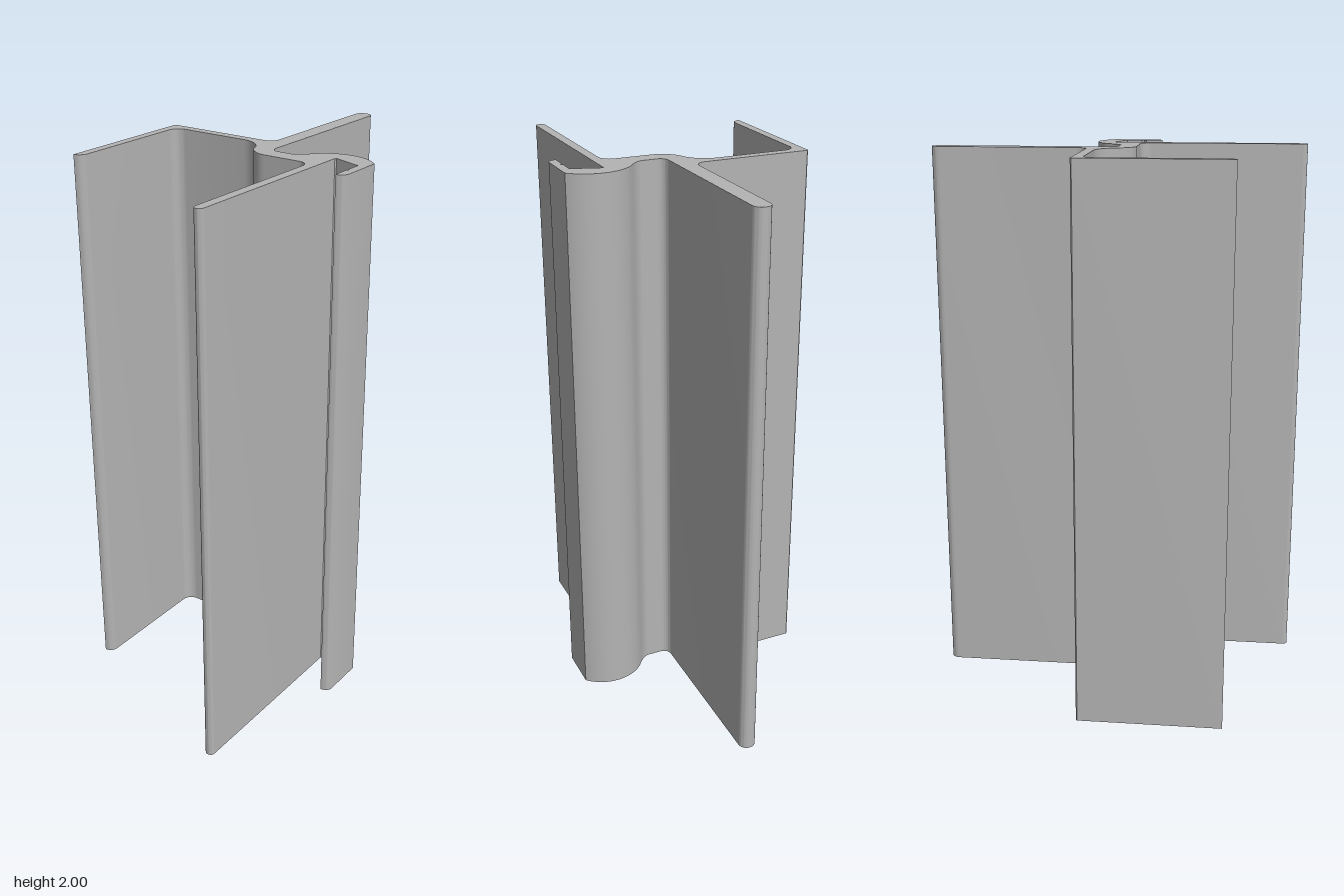
import * as THREE from 'three';
import { toCreasedNormals } from 'three/addons/utils/BufferGeometryUtils.js';

// Cross-section drawn in (x, z); shape y is -z so it stands up when rotated.
function profileShape() {
  const shape = new THREE.Shape();
  const line = (x, z) => shape.lineTo(x, -z);
  // Straight run to (ax, az), then a rounded corner about (cx, cz) ending at (bx, bz)
  const round = (ax, az, cx, cz, bx, bz, k = 0.552) => {
    line(ax, az);
    const mix = (p, c) => p + (c - p) * k;
    shape.bezierCurveTo(mix(ax, cx), -mix(az, cz), mix(bx, cx), -mix(bz, cz), bx, -bz);
  };

  // back of the web and left flange corner
  shape.moveTo(-0.433, 0.1);
  line(-0.428, -0.105);
  round(-0.04, -0.105, -0.002, -0.105, -0.002, -0.143);
  // back fin with rounded tip
  round(-0.002, -0.637, -0.002, -0.667, 0.028, -0.667);
  round(0.03, -0.667, 0.06, -0.667, 0.06, -0.637);
  round(0.06, -0.034, 0.06, -0.004, 0.09, -0.004);
  // hook: sweeping fillet, arched back, lip with a small notch
  round(0.145, -0.004, 0.168, -0.006, 0.2, -0.05, 0.65);
  shape.absarc(0.318, -0.05, 0.155, Math.atan2(0.1, -0.118), Math.atan2(0.105, 0.114), true);
  round(0.432, -0.045, 0.432, -0.043, 0.432, -0.04);
  round(0.432, 0.1, 0.432, 0.127, 0.4, 0.127);
  line(0.4, 0.066);
  line(0.407, 0.058);
  line(0.4, 0.05);
  line(0.4, -0.006);
  line(0.297, -0.04);
  line(0.293, -0.036);
  // front fin with rounded tip
  round(0.293, 0.65, 0.293, 0.667, 0.278, 0.667);
  round(0.273, 0.667, 0.258, 0.667, 0.258, 0.65);
  // front of the web with the S-shaped step
  round(0.258, 0.1, 0.258, 0.06, 0.218, 0.06);
  round(0.08, 0.06, 0.014, 0.06, -0.005, -0.003);
  round(-0.005, -0.003, -0.025, -0.07, -0.1, -0.07);
  // left flange
  round(-0.36, -0.07, -0.4, -0.07, -0.4, -0.03);
  round(-0.4, 0.393, -0.4, 0.424, -0.433, 0.424);
  shape.closePath();
  return shape;
}

export function createModel() {
  const group = new THREE.Group();
  group.name = 'extrudedProfile';
  const aluminium = new THREE.MeshStandardMaterial({ color: 0xb4b4b4 });
  aluminium.name = 'aluminium grey';

  let geometry = new THREE.ExtrudeGeometry(profileShape(), {
    depth: 2, bevelEnabled: false, curveSegments: 10,
  });
  geometry.rotateX(-Math.PI / 2);
  geometry = toCreasedNormals(geometry, 0.5);

  const rail = new THREE.Mesh(geometry, aluminium);
  rail.name = 'rail';
  group.add(rail);
  return group;
}
